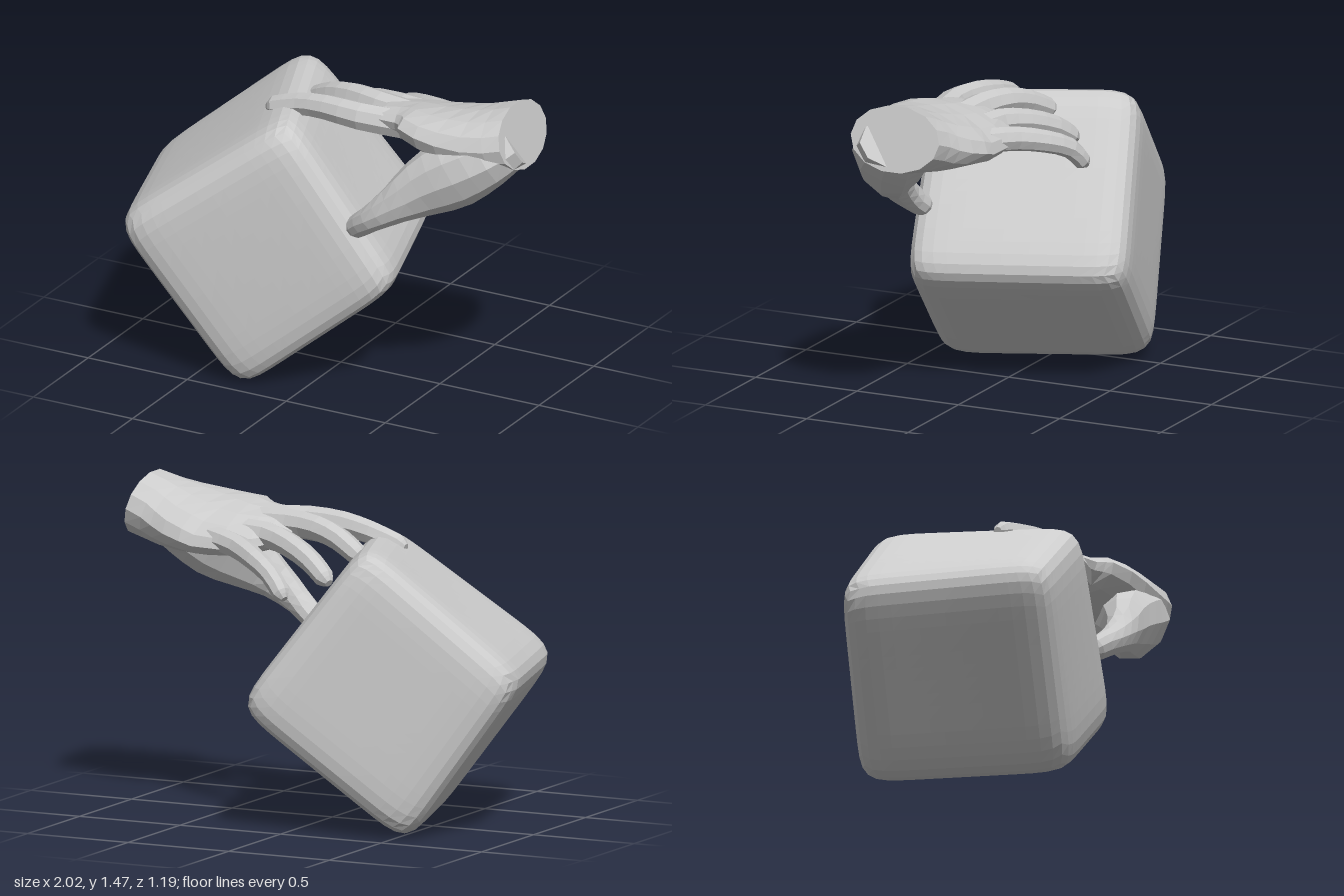
import * as THREE from 'three';

const material = new THREE.MeshStandardMaterial({ color: 0xcccccc, flatShading: true });

function addMesh(parent, geometry, name) {
  const flat = geometry.toNonIndexed();
  flat.computeVertexNormals();
  const mesh = new THREE.Mesh(flat, material);
  mesh.name = name;
  parent.add(mesh);
}

// Elliptical loft; each section is [x, y, z, halfWidth, halfHeight, roll]
function loft(sections, sides = 10, perSpan = 2) {
  const path = new THREE.CatmullRomCurve3(sections.map(s => new THREE.Vector3(s[0], s[1], s[2])));
  const size = new THREE.CatmullRomCurve3(sections.map(s => new THREE.Vector3(s[3], s[4], s[5] || 0)));
  const n = (sections.length - 1) * perSpan;
  const pos = [], index = [];
  for (let i = 0; i <= n; i++) {
    const p = path.getPoint(i / n), s = size.getPoint(i / n), t = path.getTangent(i / n);
    const side = new THREE.Vector3(0, 1, 0).cross(t).normalize().applyAxisAngle(t, s.z);
    const up = t.clone().cross(side);
    for (let j = 0; j < sides; j++) {
      const a = (j / sides) * Math.PI * 2;
      const v = p.clone().addScaledVector(side, Math.cos(a) * s.x).addScaledVector(up, Math.sin(a) * s.y);
      pos.push(v.x, v.y, v.z);
    }
  }
  const start = pos.length / 3, last = n * sides;
  pos.push(...path.getPoint(0).toArray(), ...path.getPoint(1).toArray());
  for (let j = 0; j < sides; j++) {
    const k = (j + 1) % sides;
    for (let i = 0; i < n; i++) {
      const a = i * sides + j, b = i * sides + k;
      index.push(a, b, a + sides, b, b + sides, a + sides);
    }
    index.push(start, k, j, start + 1, last + j, last + k);
  }
  const g = new THREE.BufferGeometry();
  g.setAttribute('position', new THREE.Float32BufferAttribute(pos, 3));
  g.setIndex(index);
  return g;
}

// Rounded, slightly skewed block standing on one edge
function blockGeometry() {
  const corner = {
    back: [[-0.56, 0.02, -0.41], [0.13, 0.57, -0.6], [-0.38, 1.27, -0.42], [-1.03, 0.72, -0.25]],
    front: [[-0.27, 0, 0.44], [0.405, 0.55, 0.28], [-0.07, 1.25, 0.385], [-0.78, 0.72, 0.6]],
  };
  const g = new THREE.BoxGeometry(2, 2, 2, 16, 16, 16);
  const p = g.attributes.position, power = 9, grow = 1.085;
  for (let i = 0; i < p.count; i++) {
    let q = [p.getX(i), p.getY(i), p.getZ(i)];
    // soften edges with a superellipsoid projection
    const norm = Math.pow(q.reduce((sum, c) => sum + Math.pow(Math.abs(c), power), 0), 1 / power);
    q = q.map(c => (c / norm) * grow);
    const [a, b, c] = q.map(v => (v + 1) / 2);
    const weight = [(1 - a) * (1 - b), a * (1 - b), a * b, (1 - a) * b];
    const out = [0, 1, 2].map(k => weight.reduce(
      (sum, w, m) => sum + w * (corner.back[m][k] * (1 - c) + corner.front[m][k] * c), 0));
    p.setXYZ(i, Math.max(-1, out[0]), Math.max(0, out[1]), out[2]);
  }
  return g;
}

// Finger from knuckle to rounded tip
function fingerGeometry(points, r) {
  const scale = [1.2, 1.15, 1.05, 0.95, 0.85];
  const sections = points.map((p, i) => [...p, r * scale[i], r * scale[i]]);
  const tip = new THREE.Vector3(...points[points.length - 1]);
  const dir = tip.clone().sub(new THREE.Vector3(...points[points.length - 2])).normalize();
  tip.addScaledVector(dir, r * 0.7);
  sections.push([tip.x, tip.y, tip.z, r * 0.35, r * 0.35]);
  return loft(sections, 8);
}

export function createModel() {
  const model = new THREE.Group();
  model.name = 'handOnBlock';
  addMesh(model, blockGeometry(), 'block');

  const hand = new THREE.Group();
  hand.name = 'hand';
  model.add(hand);

  // Wrist and palm, tilted down towards the little finger
  addMesh(hand, loft([
    [0.963, 1.327, 0.083, 0.217, 0.15, 0],
    [0.8, 1.285, 0.085, 0.255, 0.142, 0.06],
    [0.6, 1.268, 0.055, 0.285, 0.115, 0.17],
    [0.44, 1.265, 0.02, 0.25, 0.09, 0.27],
    [0.28, 1.27, 0.045, 0.18, 0.065, 0.25],
    [0.2, 1.275, 0.06, 0.12, 0.04, 0.25],
  ], 14), 'palm');

  // Four fingers reaching over the block
  const fingers = {
    indexFinger: [0.056, [[0.42, 1.28, 0.14], [0.2, 1.29, 0.175], [0.02, 1.288, 0.155], [-0.13, 1.265, 0.13], [-0.265, 1.225, 0.122]]],
    middleFinger: [0.056, [[0.42, 1.285, 0.05], [0.22, 1.295, 0.03], [0.06, 1.29, -0.015], [-0.07, 1.258, -0.06], [-0.18, 1.205, -0.105]]],
    ringFinger: [0.053, [[0.46, 1.255, -0.06], [0.28, 1.255, -0.085], [0.13, 1.23, -0.15], [-0.01, 1.178, -0.22], [-0.095, 1.12, -0.26]]],
    littleFinger: [0.048, [[0.52, 1.235, -0.14], [0.36, 1.215, -0.21], [0.23, 1.18, -0.295], [0.12, 1.13, -0.36], [0.055, 1.06, -0.39]]],
  };
  for (const [name, [radius, points]] of Object.entries(fingers)) {
    addMesh(hand, fingerGeometry(points, radius), name);
  }

  // Thumb with its broad mound and web, pressing on the side of the block
  addMesh(hand, loft([
    [0.92, 1.305, 0.1, 0.16, 0.12],
    [0.82, 1.235, 0.165, 0.18, 0.15],
    [0.7, 1.15, 0.23, 0.15, 0.165],
    [0.57, 1.065, 0.285, 0.105, 0.135],
    [0.45, 0.975, 0.33, 0.073, 0.088],
    [0.34, 0.89, 0.335, 0.065, 0.062],
    [0.25, 0.82, 0.305, 0.055, 0.053],
    [0.215, 0.79, 0.29, 0.028, 0.028],
  ], 10), 'thumb');

  return model;
}
